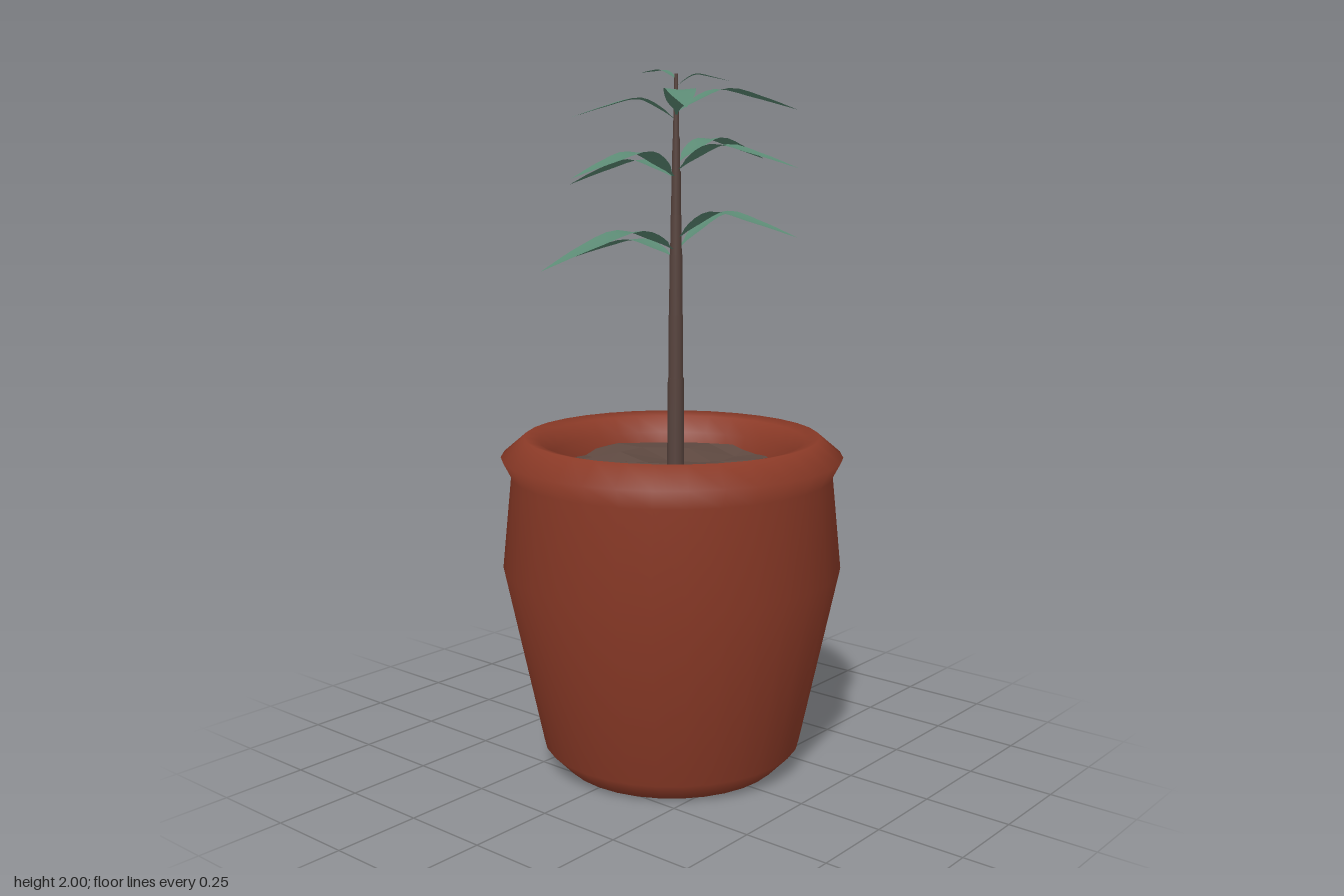
import * as THREE from 'three';

const POT_Z = -0.04, STEM_X = 0.02, STEM_Z = -0.033;

const terracotta = new THREE.MeshStandardMaterial({ color: 0x8b3a27, side: THREE.DoubleSide });
terracotta.name = 'terracotta';
const soilBrown = new THREE.MeshStandardMaterial({ color: 0x5c473f, flatShading: true });
soilBrown.name = 'soilBrown';
const barkBrown = new THREE.MeshStandardMaterial({ color: 0x57433d });
barkBrown.name = 'barkBrown';
const leafGreen = new THREE.MeshStandardMaterial({ color: 0x5c8b75, side: THREE.DoubleSide });
leafGreen.name = 'leafGreen';

function addMesh(parent, name, geometry, material) {
  const mesh = new THREE.Mesh(geometry, material);
  mesh.name = name;
  parent.add(mesh);
  return mesh;
}

// Pot: one turned profile, from the recessed underside over the rim to the inner wall
function makePot() {
  const profile = [
    [0, 0.05], [0.25, 0.05], [0.27, 0], [0.32, 0], [0.378, 0.06], [0.49, 0.59],
    [0.463, 0.86], [0.492, 0.915], [0.425, 0.972], [0.385, 0.962], [0.352, 0.915], [0.335, 0.85], [0.335, 0.8],
  ].map(([r, y]) => new THREE.Vector2(r, y));
  return new THREE.LatheGeometry(profile, 32);
}

// Soil: lumpy grid pulled in to a disc
function makeSoil() {
  let seed = 7;
  const random = () => (seed = (seed * 16807) % 2147483647) / 2147483647;
  const geometry = new THREE.PlaneGeometry(0.8, 0.8, 8, 8).rotateX(-Math.PI / 2);
  const p = geometry.attributes.position;
  for (let i = 0; i < p.count; i++) {
    const k = Math.min(1, 0.37 / (Math.hypot(p.getX(i), p.getZ(i)) || 1));
    p.setXYZ(i, p.getX(i) * k, 0.85 + 0.05 * random(), p.getZ(i) * k);
  }
  geometry.computeVertexNormals();
  return geometry;
}

// Leaf: a narrow stalk widening to a shallow V blade along an arched midrib
function makeLeaf(baseY, midY, tip, width) {
  const at = (t, y) => new THREE.Vector3(
    THREE.MathUtils.lerp(STEM_X, tip[0], t), y, THREE.MathUtils.lerp(STEM_Z, tip[2], t));
  const midrib = new THREE.CatmullRomCurve3([
    at(0, baseY), at(0.14, baseY + (midY - baseY) * 0.5), at(0.36, midY),
    at(0.68, midY + (tip[1] - midY) * 0.42), at(1, tip[1]),
  ]);
  const side = new THREE.Vector3(STEM_Z - tip[2], 0, tip[0] - STEM_X).normalize();
  const steps = 14, positions = [], index = [];
  for (let i = 0; i <= steps; i++) {
    const t = i / steps, c = midrib.getPoint(t);
    const blade = Math.max(0, (t - 0.1) / 0.9);
    const half = Math.max(i < steps ? 0.004 : 0, width / 2 * Math.sin(Math.PI * Math.pow(blade, 0.85)));
    for (const s of [-1, 0, 1]) {
      positions.push(c.x + side.x * half * s, c.y + Math.abs(s) * half * 0.1, c.z + side.z * half * s);
    }
    if (i === steps) continue;
    for (const a of [i * 3, i * 3 + 1]) index.push(a, a + 1, a + 3, a + 1, a + 4, a + 3);
  }
  const geometry = new THREE.BufferGeometry();
  geometry.setAttribute('position', new THREE.Float32BufferAttribute(positions, 3));
  geometry.setIndex(index);
  geometry.computeVertexNormals();
  return geometry;
}

export function createModel() {
  const model = new THREE.Group();
  model.name = 'pottedPlant';

  addMesh(model, 'pot', makePot(), terracotta).position.z = POT_Z;
  addMesh(model, 'soil', makeSoil(), soilBrown).position.z = POT_Z;

  // Jointed stem, each section stepping in a little from the one below
  const stem = new THREE.Group();
  stem.name = 'stem';
  model.add(stem);
  const joints = [[0.82, 0.026], [1.14, 0.022], [1.32, 0.02], [1.49, 0.017], [1.6, 0.014],
    [1.72, 0.012], [1.81, 0.009], [1.91, 0.006], [1.985, 0.004]];
  for (let i = 0; i < joints.length - 1; i++) {
    const [y0, r0] = joints[i], [y1, r1] = joints[i + 1];
    const section = addMesh(stem, 'stemSection', new THREE.CylinderGeometry(r1 + 0.0015, r0, y1 - y0, 10), barkBrown);
    section.position.set(STEM_X, (y0 + y1) / 2, STEM_Z);
  }

  // Leaves in tiers: base height, arch height, tip, width
  const leaves = [
    [1.48, 1.525, [-0.4, 1.46, -0.035], 0.075],
    [1.53, 1.61, [0.43, 1.55, -0.04], 0.08],
    [1.5, 1.56, [0.04, 1.475, 0.525], 0.092],
    [1.5, 1.6, [0.15, 1.53, -0.42], 0.08],
    [1.7, 1.75, [-0.39, 1.68, -0.035], 0.075],
    [1.72, 1.79, [0.43, 1.73, -0.04], 0.08],
    [1.7, 1.77, [0.04, 1.705, 0.41], 0.085],
    [1.74, 1.81, [0.015, 1.755, -0.45], 0.08],
    [1.87, 1.935, [0.3, 1.88, 0.265], 0.085],
    [1.86, 1.915, [-0.155, 1.865, 0.205], 0.07],
    [1.88, 1.945, [0.15, 1.895, -0.43], 0.075],
    [1.95, 1.982, [0.135, 1.965, -0.125], 0.04],
    [1.97, 1.995, [-0.11, 1.992, -0.033], 0.035],
  ];
  const foliage = new THREE.Group();
  foliage.name = 'foliage';
  model.add(foliage);
  for (const leaf of leaves) addMesh(foliage, 'leaf', makeLeaf(...leaf), leafGreen);

  return model;
}
